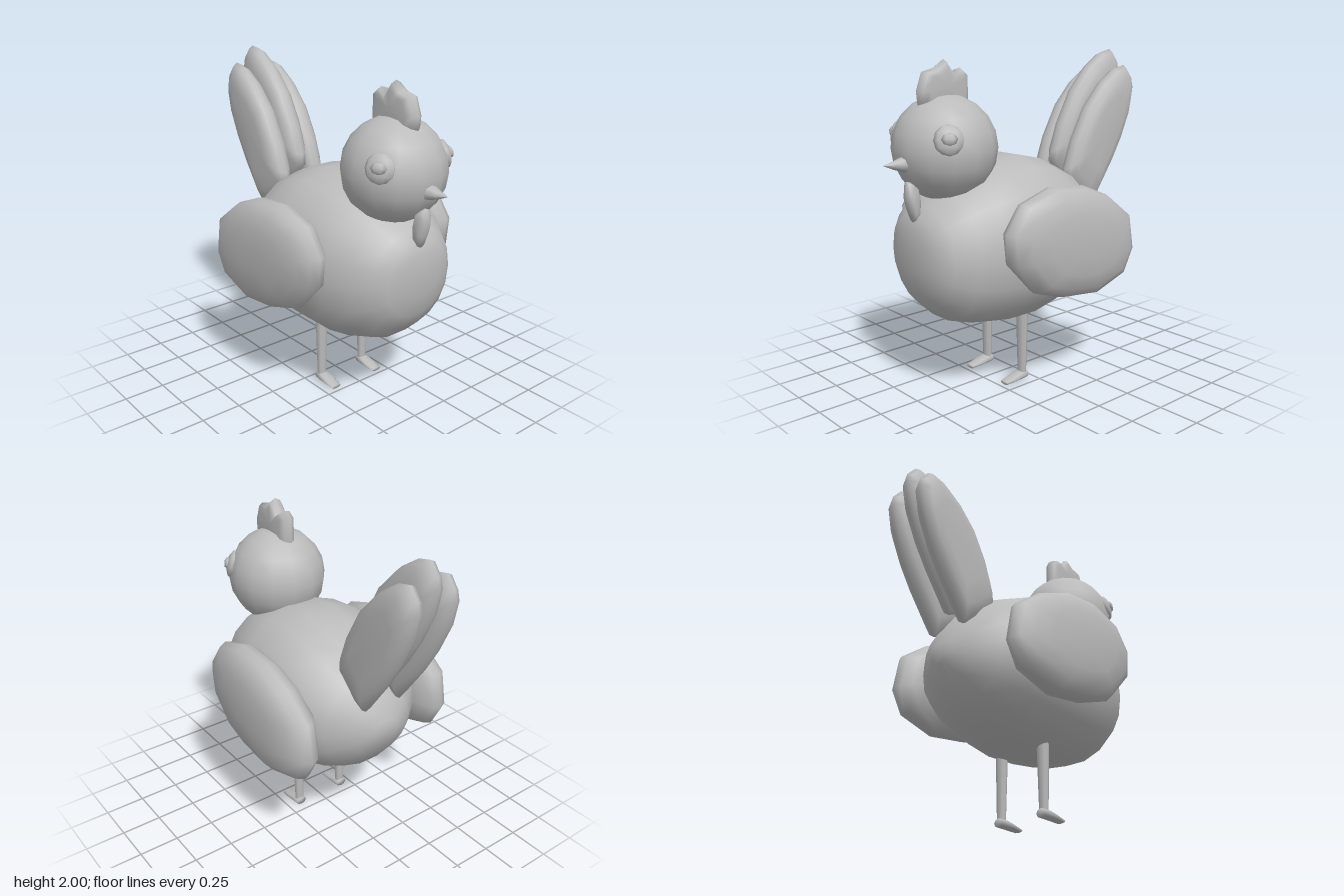
import * as THREE from 'three';

const grey = new THREE.MeshStandardMaterial({ color: 0xbbbbbb });
grey.name = 'plain grey';

// Smooth closed skin over a list of rings (arrays of [x, y, z])
function loft(rings) {
  const n = rings[0].length, pos = [], idx = [];
  rings.forEach(r => r.forEach(p => pos.push(...p)));
  for (let i = 0; i < rings.length - 1; i++)
    for (let j = 0; j < n; j++) {
      const a = i * n + j, b = i * n + (j + 1) % n;
      idx.push(a, b, b + n, a, b + n, a + n);
    }
  [0, rings.length - 1].forEach((k, end) => {
    const c = [0, 1, 2].map(d => rings[k].reduce((s, p) => s + p[d], 0) / n);
    const ci = pos.push(...c) / 3 - 1;
    for (let j = 0; j < n; j++) {
      const a = k * n + j, b = k * n + (j + 1) % n;
      idx.push(...(end ? [ci, a, b] : [ci, b, a]));
    }
  });
  // turn the skin outward if its enclosed volume comes out negative
  const v = i => new THREE.Vector3(pos[3 * i], pos[3 * i + 1], pos[3 * i + 2]);
  let volume = 0;
  for (let t = 0; t < idx.length; t += 3)
    volume += v(idx[t]).dot(v(idx[t + 1]).cross(v(idx[t + 2])));
  if (volume < 0) idx.reverse();
  const g = new THREE.BufferGeometry();
  g.setAttribute('position', new THREE.Float32BufferAttribute(pos, 3));
  g.setIndex(idx);
  g.computeVertexNormals();
  return g;
}

// Pillow: a side outline [z, y] scaled at several x positions [x, scale]
function pillow(outline, layers) {
  const n = outline.length;
  const cz = outline.reduce((s, p) => s + p[0], 0) / n;
  const cy = outline.reduce((s, p) => s + p[1], 0) / n;
  return loft(layers.map(([x, s]) =>
    outline.map(([z, y]) => [x, cy + (y - cy) * s, cz + (z - cz) * s])));
}

// Rounded section across z
function section([z, y0, y1, w], n = 18) {
  const sq = t => Math.sign(t) * Math.abs(t) ** 0.93;
  return Array.from({ length: n }, (_, i) => {
    const a = i / n * Math.PI * 2;
    return [w * sq(Math.cos(a)), (y0 + y1) / 2 + (y1 - y0) / 2 * sq(Math.sin(a)), z];
  });
}

export function createModel() {
  const model = new THREE.Group();
  model.name = 'chicken';
  const add = (name, geometry, parent = model) => {
    const m = new THREE.Mesh(geometry, grey);
    m.name = name;
    parent.add(m);
    return m;
  };

  // Body: [z, bottom, top, half width]
  add('body', loft([
    [0.76, 0.78, 1.04, 0.13], [0.73, 0.66, 1.11, 0.23], [0.68, 0.57, 1.17, 0.30],
    [0.57, 0.47, 1.26, 0.38], [0.41, 0.42, 1.34, 0.45], [0.26, 0.395, 1.385, 0.48],
    [0.05, 0.395, 1.405, 0.49], [-0.13, 0.435, 1.365, 0.475], [-0.29, 0.495, 1.29, 0.43],
    [-0.43, 0.57, 1.18, 0.34], [-0.53, 0.69, 1.05, 0.21], [-0.58, 0.80, 0.93, 0.09]
  ].map(s => section(s))));

  // Head
  const head = add('head', new THREE.SphereGeometry(0.304, 14, 10));
  head.position.set(0, 1.475, 0.515);

  // Beak
  add('beak', loft([
    [0.74, 1.35, 1.46, 0.06], [0.80, 1.365, 1.45, 0.052],
    [0.86, 1.385, 1.43, 0.03], [0.92, 1.41, 1.415, 0.003]
  ].map(s => section(s, 8))));

  // Comb
  add('comb', pillow([
    [0.69, 1.70], [0.70, 1.79], [0.66, 1.90], [0.58, 1.92], [0.515, 1.965],
    [0.45, 1.88], [0.40, 1.915], [0.355, 1.88], [0.35, 1.72], [0.37, 1.64], [0.52, 1.66]
  ], [[-0.05, 0.68], [-0.035, 0.88], [0, 1], [0.035, 0.88], [0.05, 0.68]]));

  // Wattle
  add('wattle', pillow([
    [0.78, 1.31], [0.79, 1.22], [0.77, 1.14], [0.745, 1.075],
    [0.705, 1.10], [0.70, 1.20], [0.72, 1.30]
  ], [[-0.042, 0.6], [-0.025, 0.9], [0, 1], [0.025, 0.9], [0.042, 0.6]]));

  // Tail feathers
  const feather = [
    [-0.32, 1.19], [-0.325, 1.27], [-0.385, 1.44], [-0.50, 1.65], [-0.64, 1.80],
    [-0.76, 1.88], [-0.85, 1.90], [-0.905, 1.83], [-0.92, 1.77], [-0.89, 1.62],
    [-0.80, 1.42], [-0.70, 1.25], [-0.54, 1.02], [-0.46, 1.06]
  ];
  for (const x of [-0.125, 0, 0.125]) {
    const f = add('tailFeather', pillow(feather, [
      [-0.078, 0.55], [-0.065, 0.8], [-0.035, 0.95], [0, 1],
      [0.035, 0.95], [0.065, 0.8], [0.078, 0.55]
    ]));
    f.position.set(x, x ? 0 : 0.1, 0);
  }

  // Paired parts
  const wing = [
    [0.48, 1.05], [0.37, 1.20], [0.15, 1.27], [-0.10, 1.25], [-0.30, 1.17], [-0.49, 1.03],
    [-0.53, 0.81], [-0.45, 0.66], [-0.20, 0.58], [0.07, 0.61], [0.28, 0.68], [0.46, 0.87]
  ];
  for (const s of [1, -1]) {
    const side = s > 0 ? 'left' : 'right';

    add(side + 'Wing', pillow(wing, [
      [0.34, 0.62], [0.40, 0.86], [0.445, 0.97], [0.49, 1],
      [0.54, 0.95], [0.585, 0.8], [0.61, 0.55], [0.62, 0.25]
    ].map(([x, k]) => [s * x, k])));

    // Eye: shallow lumpy disc with a raised pupil
    const eye = new THREE.Group();
    eye.name = side + 'Eye';
    const disc = new THREE.SphereGeometry(0.085, 9, 6);
    disc.scale(1, 1, 0.45);
    add('eyeball', disc, eye);
    const pupil = new THREE.SphereGeometry(0.042, 6, 4);
    pupil.scale(1.1, 0.8, 0.5);
    add('pupil', pupil, eye).position.set(0, 0, 0.034);
    const out = new THREE.Vector3(s * 0.235, 0.075, 0.145);
    eye.position.copy(head.position).add(out.clone().setLength(0.288));
    eye.lookAt(eye.position.clone().add(out));
    model.add(eye);

    // Leg and foot
    const leg = new THREE.CylinderGeometry(0.042, 0.03, 0.42, 8);
    leg.scale(1, 1, 0.75);
    add(side + 'Leg', leg).position.set(s * 0.168, 0.24, 0.075);
    const foot = loft([
      [0.05, 0.005, 0.06, 0.035], [0.10, 0.005, 0.055, 0.042],
      [0.15, 0.005, 0.04, 0.044], [0.22, 0, 0.022, 0.034]
    ].map(p => section(p, 8)));
    add(side + 'Foot', foot).position.x = s * 0.168;
  }
  return model;
}
